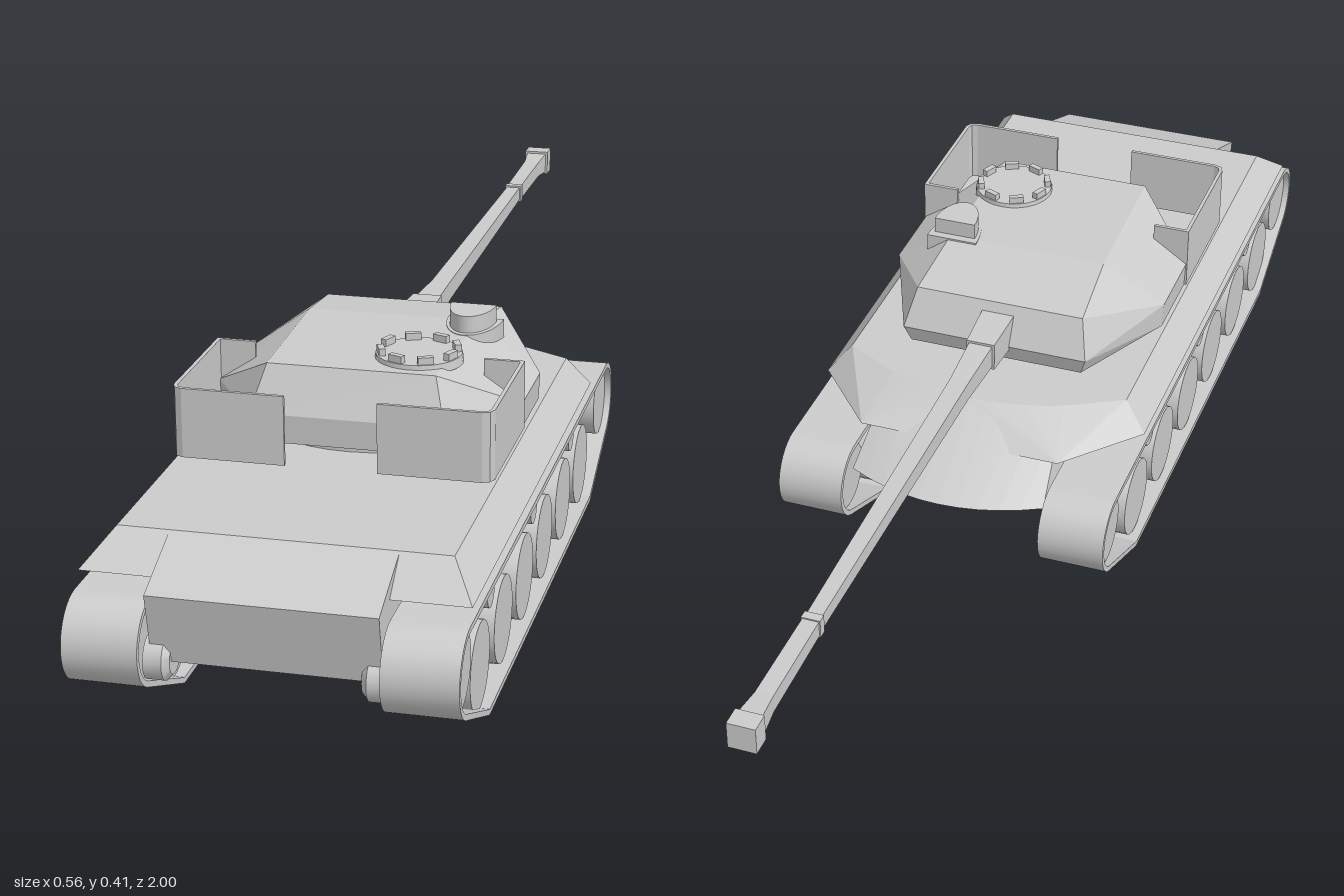
import * as THREE from 'three';
import { ConvexGeometry } from 'three/addons/geometries/ConvexGeometry.js';
import { toCreasedNormals } from 'three/addons/utils/BufferGeometryUtils.js';

const grey = new THREE.MeshStandardMaterial({ color: 0xcccccc });
const flat = new THREE.MeshStandardMaterial({ color: 0xcccccc, flatShading: true });

export function createModel() {
  const model = new THREE.Group();

  function add(name, geometry, x = 0, y = 0, z = 0, parent = model, material = grey) {
    const mesh = new THREE.Mesh(geometry, material);
    mesh.name = name;
    mesh.position.set(x, y, z);
    parent.add(mesh);
    return mesh;
  }
  // Faceted solid from [halfWidth, y, z] corners mirrored across x
  function solid(name, corners, parent = model) {
    const points = corners.flatMap(([x, y, z]) =>
      x ? [new THREE.Vector3(x, y, z), new THREE.Vector3(-x, y, z)] : [new THREE.Vector3(x, y, z)]);
    return add(name, new ConvexGeometry(points), 0, 0, 0, parent);
  }
  // Bowed front edge: z drops back towards the sides
  const bow = (width, y, z, depth) => Array.from({ length: 6 }, (_, i) => {
    const t = i / 5;
    return [width * t, y, z + depth * t * t];
  });
  const axle = (radius, width, segments = 28) =>
    new THREE.CylinderGeometry(radius, radius, width, segments).rotateZ(Math.PI / 2);

  // Hull: narrow lower body with bowed nose, and wide deck with sloped fenders
  solid('lowerHull', [
    [0.165, 0.264, 0.86], [0.165, 0.216, 0.978], [0.165, 0.11, 0.955], [0.165, 0.075, 0.88],
    ...bow(0.15, 0.264, -0.06, 0.03),
    ...bow(0.165, 0.165, -0.225, 0.045),
    ...bow(0.165, 0.075, -0.04, 0.04),
  ]);
  solid('deckAndFenders', [
    [0.242, 0.265, 0.86], [0.242, 0.265, 0.02], ...bow(0.15, 0.265, -0.06, 0.03),
    [0.28, 0.218, 0.92], [0.28, 0.218, 0], [0.17, 0.218, -0.125],
  ]);

  // Track belt: closed loop in the z-y plane, hollowed by the same loop inset
  function beltPoints(inset) {
    const r = 0.066 - inset;
    const arc = (cz, side) => Array.from({ length: 15 }, (_, i) => {
      const a = THREE.MathUtils.degToRad(90 - (155 * i) / 14);
      return new THREE.Vector2(cz + side * r * Math.cos(a), 0.13 + r * Math.sin(a));
    });
    return [...arc(0.934, 1), new THREE.Vector2(0.8, inset),
      new THREE.Vector2(-0.02, inset), ...arc(-0.157, -1).reverse()];
  }
  // The hole runs the opposite way round, so the inner faces point into the loop
  const belt = new THREE.Shape(beltPoints(0));
  belt.holes.push(new THREE.Path(beltPoints(0.009).reverse()));
  const beltGeometry = toCreasedNormals(
    new THREE.ExtrudeGeometry(belt, { depth: 0.11, bevelEnabled: false })
      .rotateY(-Math.PI / 2).translate(0.055, 0, 0), 0.4);

  const driveProfile = [[0, -0.018], [0.024, -0.018], [0.034, -0.009], [0.034, 0.018]]
    .map(([r, y]) => new THREE.Vector2(r, y));

  for (const side of [1, -1]) {
    const running = new THREE.Group();
    running.name = side > 0 ? 'leftRunningGear' : 'rightRunningGear';
    model.add(running);
    const x = side * 0.225;
    add('trackBelt', beltGeometry, x, 0, 0, running);
    for (const z of [0.807, 0.645, 0.487, 0.329, 0.17, 0.012])
      add('roadWheel', axle(0.066, 0.084), x, 0.078, z, running);
    for (const z of [0.725, 0.408, 0.092])
      add('returnRoller', axle(0.025, 0.08, 18), x, 0.157, z, running);
    for (const z of [0.934, -0.157])
      add('endWheel', axle(0.057, 0.088), x, 0.13, z, running);
    const drive = toCreasedNormals(new THREE.LatheGeometry(driveProfile, 20), 0.5);
    add('finalDrive', drive.rotateZ(-side * Math.PI / 2), side * 0.154, 0.11, 0.94, running);
  }

  // Turret
  const turret = new THREE.Group();
  turret.name = 'turret';
  model.add(turret);
  add('turretRing', new THREE.CylinderGeometry(0.205, 0.205, 0.014, 40), 0, 0.268, 0.308, turret);
  solid('turretBody', [
    [0.13, 0.387, 0.488], [0.137, 0.387, 0.22], [0.145, 0.366, 0.08],
    [0.16, 0.302, 0.05], [0.24, 0.315, 0.24], [0.24, 0.315, 0.38], [0.15, 0.317, 0.52],
    [0.15, 0.272, 0.06], [0.238, 0.272, 0.24], [0.238, 0.272, 0.38], [0.148, 0.272, 0.518],
  ], turret);

  // Thin-walled stowage screens around the rear corners
  for (const side of [1, -1]) {
    const outline = [
      [0.07, 0.61], [0.226, 0.61], [0.237, 0.605], [0.242, 0.594], [0.242, 0.375], [0.18, 0.375],
      [0.18, 0.381], [0.236, 0.381], [0.236, 0.592], [0.233, 0.601], [0.224, 0.604], [0.07, 0.604],
    ].map(([x, z]) => new THREE.Vector2(side * x, z));
    const wall = new THREE.ExtrudeGeometry(new THREE.Shape(outline), { depth: 0.108, bevelEnabled: false });
    add('stowageScreen', wall.rotateX(Math.PI / 2), 0, 0.381, 0, turret);
  }

  // Cupola with a ring of vision blocks
  const cupola = new THREE.Group();
  cupola.name = 'cupola';
  cupola.position.set(0.085, 0.387, 0.405);
  turret.add(cupola);
  add('cupolaBase', new THREE.CylinderGeometry(0.066, 0.068, 0.014, 28), 0, 0, 0, cupola);
  for (let i = 0; i < 8; i++) {
    const a = ((i + 0.5) / 8) * Math.PI * 2;
    const block = add('visionBlock', new THREE.BoxGeometry(0.024, 0.012, 0.01),
      Math.sin(a) * 0.058, 0.012, Math.cos(a) * 0.058, cupola);
    block.rotation.y = a;
  }

  // Roof sight: half-round housing, flat face towards the gun
  const halfRound = new THREE.Shape().absarc(0, 0, 1, 0, Math.PI, false);
  const halfDrum = (width, length, height) => new THREE.ExtrudeGeometry(halfRound,
    { depth: height, bevelEnabled: false, curveSegments: 16 })
    .rotateX(Math.PI / 2).scale(width, 1, length);
  add('sightBase', halfDrum(0.044, 0.09, 0.035), 0.131, 0.388, 0.208, turret);
  add('sightHead', halfDrum(0.036, 0.066, 0.04), 0.13, 0.415, 0.222, turret);

  // Gun: square-section pieces given as [name, zBack, zFront, halfBack, halfFront]
  const gun = new THREE.Group();
  gun.name = 'gun';
  gun.position.y = 0.322;
  model.add(gun);
  for (const [name, z0, z1, h0, h1] of [
    ['mantlet', 0.1, -0.015, 0.029, 0.024],
    ['barrelRoot', -0.015, -0.12, 0.02, 0.016],
    ['barrel', -0.12, -0.74, 0.016, 0.012],
    ['barrelCollar', -0.735, -0.75, 0.015, 0.015],
    ['muzzleTube', -0.75, -0.92, 0.013, 0.014],
    ['muzzleFlare', -0.92, -0.968, 0.014, 0.018],
    ['muzzleCap', -0.968, -1, 0.022, 0.022],
  ]) {
    const piece = new THREE.CylinderGeometry(h0 * Math.SQRT2, h1 * Math.SQRT2, z0 - z1, 4)
      .rotateY(Math.PI / 4).rotateX(Math.PI / 2);
    add(name, piece, 0, 0, (z0 + z1) / 2, gun, flat);
  }
  return model;
}
